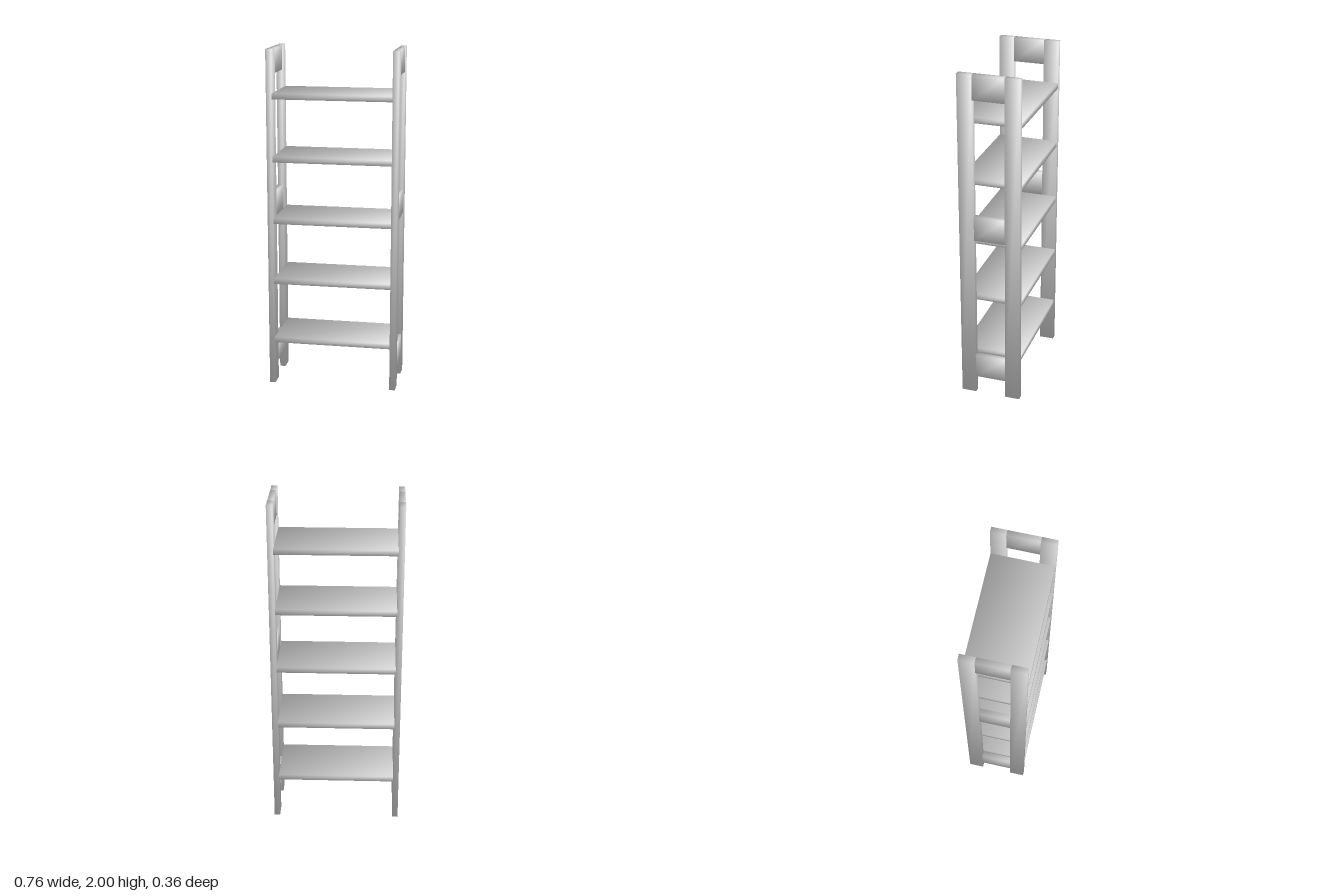
import * as THREE from 'three';

const HALF_WIDTH = 0.38, HALF_DEPTH = 0.18, HEIGHT = 2;
const SIDE = 0.034;        // thickness of the side frames
const POST_DEPTH = 0.088;  // front-to-back size of each post

// Box spanning min to max, with corner normals averaged for soft shading
function softBox(name, min, max, material) {
  const size = max.map((v, i) => v - min[i]);
  const geometry = new THREE.BoxGeometry(...size);
  const { position, normal } = geometry.attributes;
  const n = new THREE.Vector3();
  for (let i = 0; i < position.count; i++) {
    n.fromBufferAttribute(position, i);
    n.set(Math.sign(n.x), Math.sign(n.y), Math.sign(n.z)).normalize();
    normal.setXYZ(i, n.x, n.y, n.z);
  }
  const mesh = new THREE.Mesh(geometry, material);
  mesh.name = name;
  mesh.position.set(...min.map((v, i) => (v + max[i]) / 2));
  return mesh;
}

export function createModel() {
  const model = new THREE.Group();
  model.name = 'shelfUnit';
  const grey = new THREE.MeshStandardMaterial({ color: 0xcccccc });
  grey.name = 'light grey';

  const inner = HALF_WIDTH - SIDE;
  const innerZ = HALF_DEPTH - POST_DEPTH;

  // Side frames: two posts joined by three rails
  for (const [side, x0] of [['left', inner], ['right', -HALF_WIDTH]]) {
    const frame = new THREE.Group();
    frame.name = side + 'Frame';
    const x1 = x0 + SIDE;
    frame.add(softBox('frontPost', [x0, 0, innerZ], [x1, HEIGHT, HALF_DEPTH], grey));
    frame.add(softBox('backPost', [x0, 0, -HALF_DEPTH], [x1, HEIGHT, -innerZ], grey));
    for (const [name, y0, y1] of [
      ['lowerRail', 0.11, 0.257], ['middleRail', 1.02, 1.166], ['upperRail', 1.857, HEIGHT],
    ]) {
      frame.add(softBox(name, [x0, y0, -innerZ], [x1, y1, innerZ], grey));
    }
    model.add(frame);
  }

  // Five evenly spaced shelves between the frames
  for (let i = 0; i < 5; i++) {
    const y = 0.256 + i * 0.365;
    model.add(softBox('shelf' + (i + 1), [-inner, y, -HALF_DEPTH], [inner, y + 0.034, HALF_DEPTH], grey));
  }
  return model;
}
